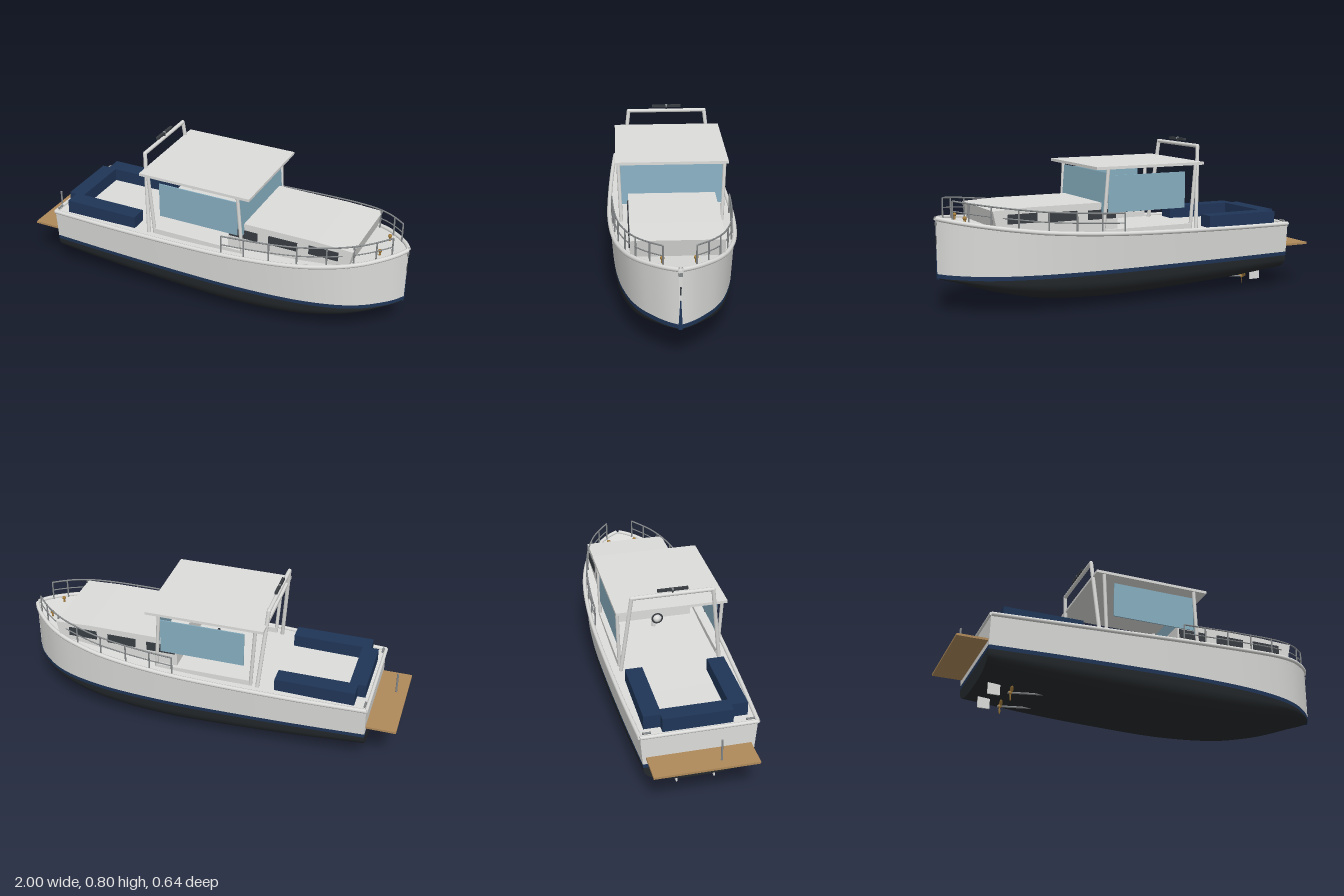
import * as THREE from 'three';

const mat = (name, color, side = THREE.FrontSide) => {
  const m = new THREE.MeshStandardMaterial({ color, side });
  m.name = name;
  return m;
};

// Hull stations: x, half beam, keel height, sheer height
const STATIONS = [
  [-0.85, 0.278, 0.075, 0.338], [-0.5, 0.296, 0.045, 0.343], [-0.1, 0.308, 0.026, 0.353],
  [0.2, 0.308, 0.02, 0.365], [0.5, 0.284, 0.04, 0.386], [0.7, 0.238, 0.08, 0.41],
  [0.82, 0.182, 0.115, 0.427], [0.91, 0.108, 0.145, 0.44], [0.96, 0.052, 0.156, 0.448], [0.986, 0.008, 0.162, 0.452],
];
const WATER = 0.166, STRIPE = 0.186;

// Smooth interpolation of one station column
function at(x, col) {
  const S = STATIONS, n = S.length;
  let i = 0;
  while (i < n - 2 && x > S[i + 1][0]) i++;
  const slope = (k) => {
    const a = S[Math.max(k - 1, 0)], b = S[Math.min(k + 1, n - 1)];
    return (b[col] - a[col]) / (b[0] - a[0]);
  };
  const h = S[i + 1][0] - S[i][0], t = (x - S[i][0]) / h, t2 = t * t, t3 = t2 * t;
  return (2 * t3 - 3 * t2 + 1) * S[i][col] + (t3 - 2 * t2 + t) * h * slope(i)
    + (3 * t2 - 2 * t3) * S[i + 1][col] + (t3 - t2) * h * slope(i + 1);
}
const beam = (x) => at(x, 1), keel = (x) => at(x, 2), sheer = (x) => at(x, 3);

// Half width of the topsides at a height
const sideAt = (x, y) => beam(x) * (0.95 + 0.05 * (y - WATER) / (sheer(x) - WATER));

// Half section of the bottom, from keel to waterline, as [z, y]
function bottomHalf(x) {
  const pts = [], k = keel(x), w = sideAt(x, WATER);
  for (let i = 0; i <= 10; i++) {
    const a = (i / 10) * Math.PI / 2;
    pts.push([w * Math.sin(a) ** 0.75, WATER - (WATER - k) * Math.max(Math.cos(a), 0) ** 0.75]);
  }
  return pts;
}

// Skin over equal-length rows of [x, y, z] points
function loft(rows) {
  const n = rows[0].length, idx = [];
  for (let i = 0; i < rows.length - 1; i++) {
    for (let j = 0; j < n - 1; j++) {
      const a = i * n + j, b = a + n;
      idx.push(a, b, a + 1, b, b + 1, a + 1);
    }
  }
  const g = new THREE.BufferGeometry();
  g.setAttribute('position', new THREE.Float32BufferAttribute(rows.flat(2), 3));
  g.setIndex(idx);
  g.computeVertexNormals();
  return g;
}

export function createModel() {
  const root = new THREE.Group();
  root.name = 'motorBoat';
  const white = mat('white gelcoat', 0xdcdcda, THREE.DoubleSide);
  const black = mat('black antifouling', 0x25292c, THREE.DoubleSide);
  const navy = mat('navy blue', 0x1f3557, THREE.DoubleSide);
  const teak = mat('teak', 0xaf8a5a);
  const glass = mat('tinted glass', 0x86adbf, THREE.DoubleSide);
  const steel = mat('steel', 0x85888a);
  const dark = mat('dark grey', 0x383d42);
  const bronze = mat('bronze', 0xa8803f, THREE.DoubleSide);

  const add = (name, geo, m, x = 0, y = 0, z = 0, parent = root) => {
    const o = new THREE.Mesh(geo, m);
    o.name = name;
    o.position.set(x, y, z);
    parent.add(o);
    return o;
  };
  // Box given by its min and max corners
  const box = (name, m, x0, x1, y0, y1, z0, z1) =>
    add(name, new THREE.BoxGeometry(x1 - x0, y1 - y0, z1 - z0), m, (x0 + x1) / 2, (y0 + y1) / 2, (z0 + z1) / 2);
  // Straight round bar between two points
  const rod = (name, m, a, b, r) => {
    const A = new THREE.Vector3(...a), B = new THREE.Vector3(...b), d = B.clone().sub(A);
    const o = add(name, new THREE.CylinderGeometry(r, r, d.length(), 10), m, ...A.add(B).multiplyScalar(0.5).toArray());
    o.quaternion.setFromUnitVectors(new THREE.Vector3(0, 1, 0), d.normalize());
    return o;
  };
  const tube = (name, m, pts, r, seg = 60) =>
    add(name, new THREE.TubeGeometry(new THREE.CatmullRomCurve3(pts.map((p) => new THREE.Vector3(...p))), seg, r, 8), m);

  // Hull skins, evenly spaced with closer stations at the bow
  const xs = Array.from({ length: 49 }, (_, i) => -0.85 + 1.836 * (1 - (1 - i / 48) ** 1.5));
  add('hullBottom', loft(xs.map((x) => {
    const h = bottomHalf(x);
    return [...h.slice(1).reverse().map(([z, y]) => [x, y, -z]), ...h.map(([z, y]) => [x, y, z])];
  })), black);
  const band = (x, y0, y1, s) => {
    const pts = [0, 0.5, 1].map((t) => y0 + (y1 - y0) * t).map((y) => [x, y, s * sideAt(x, y)]);
    return s > 0 ? pts : pts.reverse();
  };
  for (const s of [1, -1]) {
    add('bootStripe', loft(xs.map((x) => band(x, WATER, STRIPE, s))), navy);
    add('topside', loft(xs.map((x) => band(x, STRIPE, sheer(x), s))), white);
  }
  add('deck', loft(xs.map((x) => [1, 0, -1].map((s) => [x, sheer(x) - 0.003, s * beam(x)]))), white);

  // Transom in the same three bands
  const T = -0.85;
  const across = (rows) => loft(rows.map(([z, y]) => [[T, y, z], [T, y, -z]]));
  add('transomBottom', across(bottomHalf(T)), black);
  add('transomStripe', across([WATER, STRIPE].map((y) => [sideAt(T, y), y])), navy);
  add('transom', across([STRIPE, sheer(T)].map((y) => [sideAt(T, y), y])), white);

  // Stem with blue foot and anchor roller
  box('stem', white, 0.978, 0.988, STRIPE, 0.45, -0.008, 0.008);
  box('stemFoot', navy, 0.978, 0.988, 0.16, STRIPE, -0.009, 0.009);
  const spike = new THREE.Shape([[-0.009, 0], [0.009, 0], [0.002, 0.12], [-0.002, 0.12]].map((p) => new THREE.Vector2(...p)));
  add('stemStripe', new THREE.ShapeGeometry(spike), navy, 0.9895, STRIPE, 0).rotation.y = Math.PI / 2;
  box('anchorRoller', steel, 0.95, 0.992, 0.42, 0.436, -0.009, 0.009);
  box('anchorShank', dark, 0.986, 0.991, 0.33, 0.37, -0.004, 0.004);

  // Rub rail around the sheer
  for (const s of [1, -1]) {
    tube('rubRail', white, xs.map((x) => [x, sheer(x), s * beam(x)]), 0.011, 90);
    rod('sternCleat', steel, [-0.838, 0.352, s * 0.225], [-0.838, 0.352, s * 0.265], 0.005);
  }
  rod('sternRail', white, [T, 0.338, -0.278], [T, 0.338, 0.278], 0.009);

  // Swim platform and flag staff
  box('swimPlatform', teak, -1, -0.85, 0.213, 0.224, -0.25, 0.25);
  rod('flagStaff', steel, [-0.945, 0.22, 0.08], [-0.945, 0.335, 0.08], 0.005);

  // Cockpit sofa
  box('sofaBack', navy, -0.825, -0.742, 0.335, 0.405, -0.168, 0.168);
  for (const s of [1, -1]) box('sofaSide', navy, -0.785, -0.385, 0.335, 0.405, s > 0 ? 0.162 : -0.248, s > 0 ? 0.248 : -0.162);

  // Cabin trunk with side windows
  const profile = new THREE.Shape([[0.13, 0.35], [0.76, 0.395], [0.782, 0.5], [0.6, 0.508], [0.22, 0.508], [0.13, 0.49]]
    .map((p) => new THREE.Vector2(...p)));
  add('cabinTrunk', new THREE.ExtrudeGeometry(profile, { depth: 0.43, bevelEnabled: false }), white, 0, 0, -0.215);
  for (const s of [1, -1]) {
    [[0.14, 0.427], [0.35, 0.43], [0.56, 0.434]].forEach(([x, y]) =>
      box('cabinWindow', dark, x, x + 0.15, y, y + 0.046, s * 0.217 - 0.003, s * 0.217 + 0.003));
  }

  // Wheelhouse: roof, posts, sills and glass
  box('roof', white, -0.33, 0.27, 0.674, 0.688, -0.275, 0.275);
  for (const s of [1, -1]) {
    rod('rearPost', white, [-0.265, 0.35, s * 0.25], [-0.287, 0.678, s * 0.262], 0.009);
    rod('frontPost', white, [0.225, 0.36, s * 0.25], [0.203, 0.678, s * 0.262], 0.009);
    box('sideSill', white, -0.27, 0.225, 0.35, 0.378, s * 0.25 - 0.008, s * 0.25 + 0.008);
    box('sideGlass', glass, -0.23, 0.2, 0.46, 0.642, s * 0.252 - 0.003, s * 0.252 + 0.003);
  }
  add('windshield', loft([[0.222, 0.455], [0.204, 0.655]].map(([x, y]) => [[x, y, 0.25], [x, y, -0.25]])), glass);

  // Helm: bent column with a wheel and hub
  tube('helmColumn', white, [[0.06, 0.355, 0], [0.06, 0.405, 0], [0.045, 0.418, 0], [-0.01, 0.425, 0]], 0.011, 24);
  add('helmHub', new THREE.SphereGeometry(0.02, 16, 12), white, -0.012, 0.44, 0);
  add('helmWheel', new THREE.TorusGeometry(0.026, 0.004, 8, 24), dark, -0.022, 0.447, 0).rotation.y = Math.PI / 2;

  // Radar arch and scanner
  for (const s of [1, -1]) {
    rod('archLeg', white, [-0.3, 0.345, s * 0.25], [-0.335, 0.763, s * 0.2], 0.01);
    add('archCorner', new THREE.SphereGeometry(0.01, 12, 8), white, -0.335, 0.763, s * 0.2);
  }
  rod('archTop', white, [-0.335, 0.763, -0.2], [-0.335, 0.763, 0.2], 0.01);
  rod('radarPedestal', dark, [-0.335, 0.765, 0], [-0.335, 0.79, 0], 0.005);
  box('radarBar', dark, -0.342, -0.328, 0.782, 0.794, -0.075, 0.075);
  add('radarHub', new THREE.SphereGeometry(0.009, 12, 8), steel, -0.335, 0.789, 0);

  // Side decks: guard rails, stanchions and bollards
  for (const s of [1, -1]) {
    const p = (x, h) => [x, sheer(x) + h, s * (beam(x) - 0.014)];
    const line = Array.from({ length: 24 }, (_, i) => 0.13 + 0.8 * i / 23);
    tube('guardRail', steel, line.map((x) => p(x, 0.098)), 0.004);
    tube('middleRail', steel, line.map((x) => p(x, 0.05)), 0.003);
    for (const x of [0.13, 0.25, 0.38, 0.52, 0.66, 0.78, 0.87, 0.93]) rod('stanchion', steel, p(x, -0.005), p(x, 0.098), 0.004);
    rod('bollardPost', bronze, [0.87, 0.43, s * 0.075], [0.87, 0.455, s * 0.075], 0.005);
    add('bollardKnob', new THREE.SphereGeometry(0.01, 12, 8), bronze, 0.87, 0.456, s * 0.075);
  }

  // Running gear: shafts, propellers and rudders
  for (const s of [1, -1]) {
    const z = s * 0.092;
    rod('propShaft', steel, [-0.7, 0.037, z], [-0.52, 0.055, z], 0.005);
    const prop = new THREE.Group();
    prop.name = 'propeller';
    prop.position.set(-0.688, 0.038, z);
    root.add(prop);
    add('hub', new THREE.SphereGeometry(0.009, 12, 8), bronze, 0, 0, 0, prop);
    for (let i = 0; i < 3; i++) {
      const arm = new THREE.Group();
      arm.name = 'bladeArm';
      arm.rotation.x = Math.PI / 3 + i * Math.PI * 2 / 3;
      prop.add(arm);
      const blade = add('blade', new THREE.SphereGeometry(0.018, 12, 8), bronze, 0, 0.023, 0, arm);
      blade.scale.set(0.12, 1, 0.65);
      blade.rotation.y = 0.6;
    }
    box('rudder', white, -0.8, -0.74, 0.016, 0.085, z - 0.004, z + 0.004);
  }
  return root;
}
